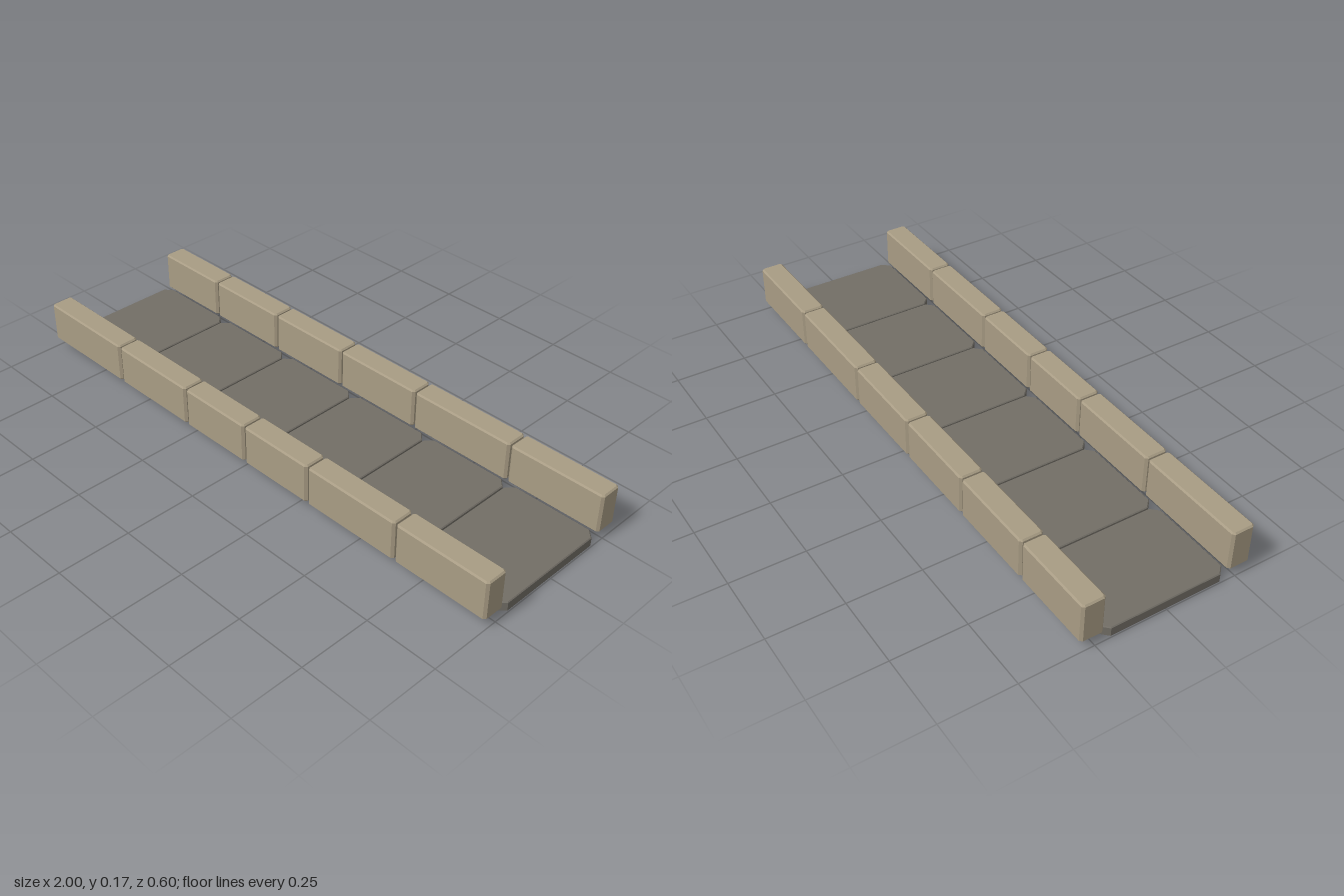
import * as THREE from 'three';

const stone = new THREE.MeshStandardMaterial({ color: 0xa89c84, flatShading: true });
const paving = new THREE.MeshStandardMaterial({ color: 0x726e66, flatShading: true });

// Block with cut vertical corners and a small bevel round top and bottom, standing on y = 0
function cutBlock(width, height, depth, corner, bevel) {
  const x = width / 2, z = depth / 2, c = corner;
  const outline = new THREE.Shape([
    [-x + c, -z], [x - c, -z], [x, -z + c], [x, z - c],
    [x - c, z], [-x + c, z], [-x, z - c], [-x, -z + c],
  ].map(([a, b]) => new THREE.Vector2(a, b)));
  const geometry = new THREE.ExtrudeGeometry(outline, {
    depth: height - 2 * bevel, bevelEnabled: true, bevelSegments: 1,
    bevelThickness: bevel, bevelSize: bevel, bevelOffset: -bevel,
  });
  return geometry.translate(0, 0, bevel).rotateX(-Math.PI / 2);
}

export function createModel() {
  const model = new THREE.Group();
  model.name = 'walledPath';

  // Paving slabs
  const floor = new THREE.Group();
  floor.name = 'pavingFloor';
  const count = 6, pitch = 2 / count;
  const slabGeometry = cutBlock(pitch - 0.005, 0.035, 0.44, 0.026, 0.003);
  for (let i = 0; i < count; i++) {
    const slab = new THREE.Mesh(slabGeometry, paving);
    slab.name = 'pavingSlab';
    slab.position.x = -1 + pitch * (i + 0.5);
    floor.add(slab);
  }
  model.add(floor);

  // Low walls of uneven stones; the numbers are the joints along x
  const walls = [
    { name: 'frontWall', z: 0.26, joints: [-1, -0.61, -0.263, 0.02, 0.303, 0.66, 1] },
    { name: 'backWall', z: -0.26, joints: [-1, -0.708, -0.389, -0.069, 0.265, 0.655, 1] },
  ];
  for (const { name, z, joints } of walls) {
    const wall = new THREE.Group();
    wall.name = name;
    for (let i = 0; i < joints.length - 1; i++) {
      const start = joints[i] + (i > 0 ? 0.003 : 0);
      const end = joints[i + 1] - (i < joints.length - 2 ? 0.003 : 0);
      const block = new THREE.Mesh(cutBlock(end - start, 0.14, 0.08, 0.008, 0.005), stone);
      block.name = 'wallStone';
      block.position.set((start + end) / 2, 0.035, z);
      wall.add(block);
    }
    model.add(wall);
  }
  return model;
}
